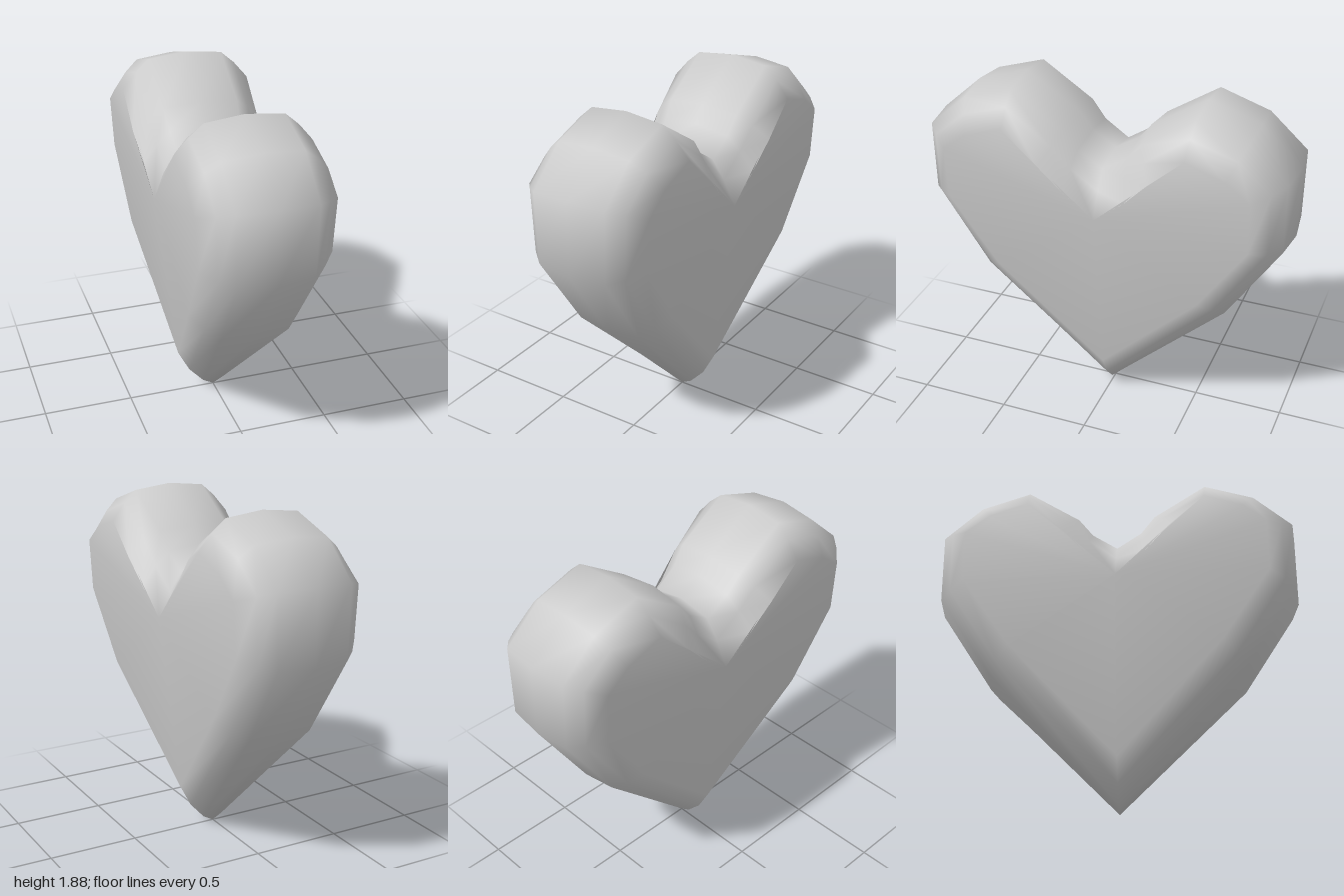
import * as THREE from 'three';

// Half of the heart outline, tip to notch: [rim z, rim y, face z, face y, face x]
const HALF = [
  [0, 0, 0, 0.25, 0.21],
  [0.71, 0.73, 0.57, 0.85, 0.32],
  [1, 1.19, 0.83, 1.24, 0.345],
  [1, 1.59, 0.83, 1.53, 0.36],
  [0.78, 1.79, 0.7, 1.63, 0.36],
  [0.5, 1.88, 0.49, 1.7, 0.36],
  [0.2, 1.69, 0.3, 1.53, 0.36],
  [0.13, 1.6, 0.17, 1.39, 0.34],
  [0, 1.52, 0, 1.25, 0.33],
];

// Rounded edge from rim to face: inset and share of the thickness
const INSET = [0, 0.13, 0.5, 1];
const DEPTH = [0, 0.58, 0.79, 1];
const TIP_DEPTH = [0, 0.29, 0.69, 1];

function heartGeometry() {
  const mirrored = HALF.slice(1, -1).reverse().map(([z, y, fz, fy, fx]) => [-z, y, -fz, fy, fx]);
  const ring = [...HALF, ...mirrored];
  const n = ring.length;
  const notch = HALF.length - 1;
  const positions = [];
  const index = [];

  // Seven cross-sections across the thickness
  for (let layer = -3; layer <= 3; layer++) {
    const k = Math.abs(layer);
    ring.forEach(([z, y, fz, fy, fx], i) => {
      const depth = (i === 0 ? TIP_DEPTH : DEPTH)[k];
      positions.push(
        Math.sign(layer) * fx * depth,
        THREE.MathUtils.lerp(y, fy, INSET[k]),
        THREE.MathUtils.lerp(z, fz, INSET[k]),
      );
    });
  }

  // Rounded rim
  for (let j = 0; j < 6; j++) {
    for (let i = 0; i < n; i++) {
      const next = (i + 1) % n;
      const a = j * n + i, b = j * n + next, c = b + n, d = a + n;
      index.push(a, d, c, a, c, b);
    }
  }

  // Broad faces, fanned out from the notch
  const top = 6 * n;
  for (let i = 0; i < n; i++) {
    const next = (i + 1) % n;
    if (i === notch || next === notch) continue;
    index.push(top + notch, top + next, top + i);
    index.push(notch, i, next);
  }

  const geometry = new THREE.BufferGeometry();
  geometry.setAttribute('position', new THREE.Float32BufferAttribute(positions, 3));
  geometry.setIndex(index);
  geometry.computeVertexNormals();
  return geometry;
}

export function createModel() {
  const group = new THREE.Group();
  group.name = 'heartModel';
  const heart = new THREE.Mesh(heartGeometry(), new THREE.MeshStandardMaterial({ color: 0xcccccc }));
  heart.name = 'heart';
  group.add(heart);
  return group;
}
